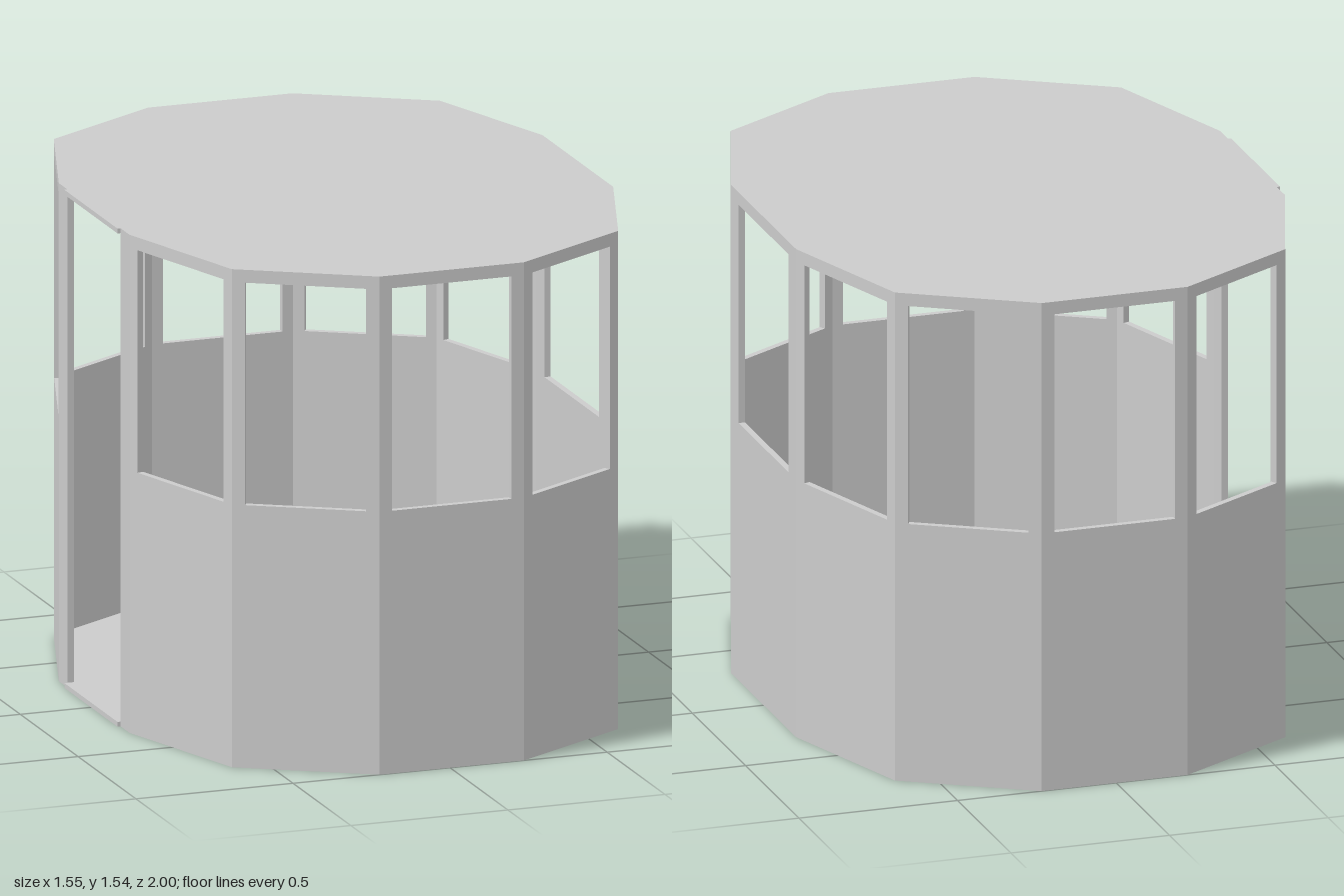
import * as THREE from 'three';

const HEIGHT = 1.545, SLAB = 0.015, WALL = 0.02;
const SILL = 0.815, HEAD = 1.505;
const CENTRE_X = 0.005;          // the doorway threshold projects a little on -x
const DOOR = 0.23;               // half width of the doorway
const material = new THREE.MeshStandardMaterial({ color: 0xcccccc, flatShading: true });

// Twelve-sided plan, starting with the front edge and going round by +x
const plan = [
  [-0.23, 1], [0.23, 1], [0.615, 0.77], [0.77, 0.305], [0.77, -0.305], [0.615, -0.77],
  [0.23, -1], [-0.23, -1], [-0.615, -0.77], [-0.77, -0.305], [-0.77, 0.305], [-0.615, 0.77],
].map(([x, z]) => new THREE.Vector3(x + CENTRE_X, 0, z));
const corner = (i) => plan[(i + 12) % 12];
const edge = (i) => corner(i + 1).clone().sub(corner(i));
const DOOR_SIDE = 9;

function rect(Type, x0, x1, y0, y1) {
  return new Type([[x0, y0], [x1, y0], [x1, y1], [x0, y1]].map(([x, y]) => new THREE.Vector2(x, y)));
}

// One wall, mitred at both ends to meet its neighbours
function wall(i) {
  const along = edge(i), half = along.length() / 2;
  const y0 = SLAB, y1 = HEIGHT - SLAB;
  let shapes;
  if (i === DOOR_SIDE) {
    shapes = [rect(THREE.Shape, -half, -DOOR, y0, y1), rect(THREE.Shape, DOOR, half, y0, y1)];
  } else {
    const margin = i === 3 ? 0.07 : 0.04;
    const panel = rect(THREE.Shape, -half, half, y0, y1);
    panel.holes.push(rect(THREE.Path, margin - half, half - margin, SILL, HEAD));
    shapes = [panel];
  }
  const geometry = new THREE.ExtrudeGeometry(shapes, { depth: WALL, bevelEnabled: false });
  geometry.translate(0, 0, -WALL);

  const startCut = WALL * Math.tan(edge(i - 1).angleTo(along) / 2);
  const endCut = WALL * Math.tan(edge(i + 1).angleTo(along) / 2);
  const pos = geometry.attributes.position;
  for (let k = 0; k < pos.count; k++) {
    if (pos.getZ(k) > -WALL / 2) continue;
    const x = pos.getX(k);
    if (x < -half + 1e-4) pos.setX(k, x + startCut);
    if (x > half - 1e-4) pos.setX(k, x - endCut);
  }
  geometry.computeVertexNormals();

  const u = along.normalize(), up = new THREE.Vector3(0, 1, 0);
  const middle = corner(i).clone().add(corner(i + 1)).multiplyScalar(0.5);
  geometry.applyMatrix4(new THREE.Matrix4().makeBasis(u, up, u.clone().cross(up)).setPosition(middle));
  const mesh = new THREE.Mesh(geometry, material);
  mesh.name = i === DOOR_SIDE ? 'doorwayWall' : 'windowWall' + (i + 1);
  return mesh;
}

// Floor or roof plate, stepped out slightly across the doorway
function slab(name, y) {
  const points = [];
  plan.forEach((p, i) => {
    points.push(new THREE.Vector2(p.x, -p.z));
    if (i === DOOR_SIDE) {
      for (const [x, z] of [[p.x, -DOOR], [-0.775, -DOOR], [-0.775, DOOR], [p.x, DOOR]]) {
        points.push(new THREE.Vector2(x, -z));
      }
    }
  });
  const geometry = new THREE.ExtrudeGeometry(new THREE.Shape(points), { depth: SLAB, bevelEnabled: false });
  geometry.rotateX(-Math.PI / 2).translate(0, y, 0);
  const mesh = new THREE.Mesh(geometry, material);
  mesh.name = name;
  return mesh;
}

export function createModel() {
  const model = new THREE.Group();
  model.name = 'cabin';
  const walls = new THREE.Group();
  walls.name = 'walls';
  for (let i = 0; i < 12; i++) walls.add(wall(i));
  model.add(slab('floor', 0), walls, slab('roof', HEIGHT - SLAB));
  return model;
}
